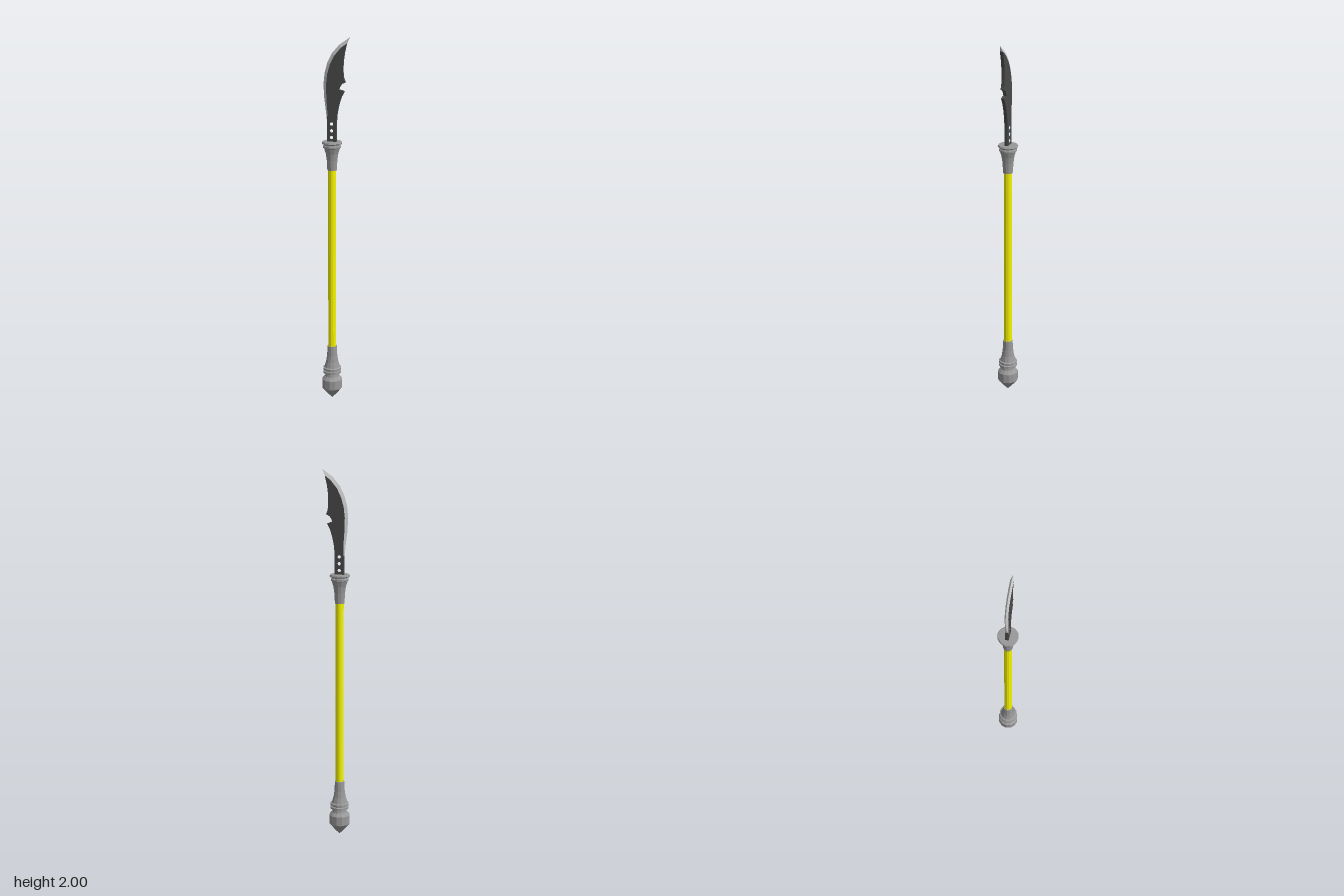
import * as THREE from 'three';

const AXIS = -0.021; // x of the pole's centre line
const HALF = 0.009; // half the blade thickness

const paint = (color, side = THREE.FrontSide) =>
  new THREE.MeshStandardMaterial({ color, flatShading: true, side });

function named(name, geometry, material) {
  const mesh = new THREE.Mesh(geometry, material);
  mesh.name = name;
  return mesh;
}

// Twelve-sided turned part from [radius, height] pairs, bottom to top
function turned(name, profile, material) {
  const points = profile.map(([r, y]) => new THREE.Vector2(r, y));
  const mesh = named(name, new THREE.LatheGeometry(points, 12), material);
  mesh.position.x = AXIS;
  return mesh;
}

// Cutting side, base to tip: [ground edge x, y, inner bevel line x, y]
const EDGE = [
  [-0.045, 1.55, -0.045, 1.55], [-0.054, 1.61, -0.044, 1.61],
  [-0.063, 1.68, -0.049, 1.68], [-0.067, 1.75, -0.051, 1.75],
  [-0.061, 1.81, -0.045, 1.805], [-0.046, 1.865, -0.031, 1.855],
  [-0.021, 1.915, -0.008, 1.902], [0.018, 1.96, 0.028, 1.945],
  [0.075, 2.0, 0.058, 1.966],
];

// Spine, tip to base, with the hooked notch
const SPINE = [
  [0.047, 1.92], [0.04, 1.87], [0.039, 1.82], [0.043, 1.785], [0.052, 1.765],
  [0.034, 1.757], [0.022, 1.742], [0.017, 1.725], [0.03, 1.724], [0.046, 1.717],
  [0.03, 1.687], [0.017, 1.645], [0.008, 1.6], [0.004, 1.55], [0.004, 1.43],
];

function bladeBody() {
  const outline = [[-0.045, 1.43], ...EDGE.map((e) => [e[2], e[3]]), ...SPINE];
  const shape = new THREE.Shape(outline.map(([x, y]) => new THREE.Vector2(x, y)));
  // Three holes through the tang
  for (const y of [1.472, 1.508, 1.544]) {
    shape.holes.push(new THREE.Path().absarc(AXIS, y, 0.009, 0, Math.PI * 2, true));
  }
  const geometry = new THREE.ExtrudeGeometry(shape, {
    depth: 2 * HALF, bevelEnabled: false, curveSegments: 5,
  });
  return geometry.translate(0, 0, -HALF);
}

// Ground bevels on both faces meeting at the sharp edge, closed behind the tip
function bladeEdge() {
  const last = EDGE[EDGE.length - 1];
  const rows = [...EDGE, [last[2], last[3], last[2], last[3]]];
  const positions = [];
  for (let i = 0; i < rows.length - 1; i++) {
    const [a, b] = [rows[i], rows[i + 1]];
    for (const s of [1, -1]) {
      const innerA = [a[2], a[3], s * HALF], innerB = [b[2], b[3], s * HALF];
      const outerA = [a[0], a[1], 0], outerB = [b[0], b[1], 0];
      const quad = s > 0 ? [innerA, innerB, outerB, outerA] : [innerA, outerA, outerB, innerB];
      for (const k of [0, 1, 2, 0, 2, 3]) positions.push(...quad[k]);
    }
  }
  const geometry = new THREE.BufferGeometry();
  geometry.setAttribute('position', new THREE.Float32BufferAttribute(positions, 3));
  geometry.computeVertexNormals();
  return geometry;
}

export function createModel() {
  const model = new THREE.Group();
  model.name = 'glaive';
  const metal = paint(0x999999);

  // Pole
  model.add(turned('pole', [[0.022, 0.29], [0.022, 1.31]], paint(0xf5f500)));

  // Weighted foot with a pointed end and two rings
  model.add(turned('pommel', [
    [0, 0], [0.018, 0.018], [0.056, 0.062], [0.056, 0.112], [0.04, 0.13], [0.036, 0.148],
    [0.051, 0.15], [0.051, 0.161], [0.043, 0.163], [0.043, 0.168],
    [0.051, 0.17], [0.051, 0.18], [0.043, 0.184],
    [0.034, 0.215], [0.029, 0.25], [0.026, 0.305], [0, 0.305],
  ], metal));

  // Flared socket holding the blade
  model.add(turned('socket', [
    [0, 1.295], [0.026, 1.295], [0.029, 1.35], [0.034, 1.385], [0.043, 1.415],
    [0.048, 1.418], [0.048, 1.427], [0.043, 1.43], [0.043, 1.435],
    [0.051, 1.437], [0.055, 1.442], [0.051, 1.45], [0, 1.45],
  ], metal));

  // Blade
  const blade = new THREE.Group();
  blade.name = 'blade';
  blade.add(named('bladeBody', bladeBody(), paint(0x4a4a4a)));
  blade.add(named('cuttingEdge', bladeEdge(), paint(0xcccccc, THREE.DoubleSide)));
  model.add(blade);

  return model;
}
